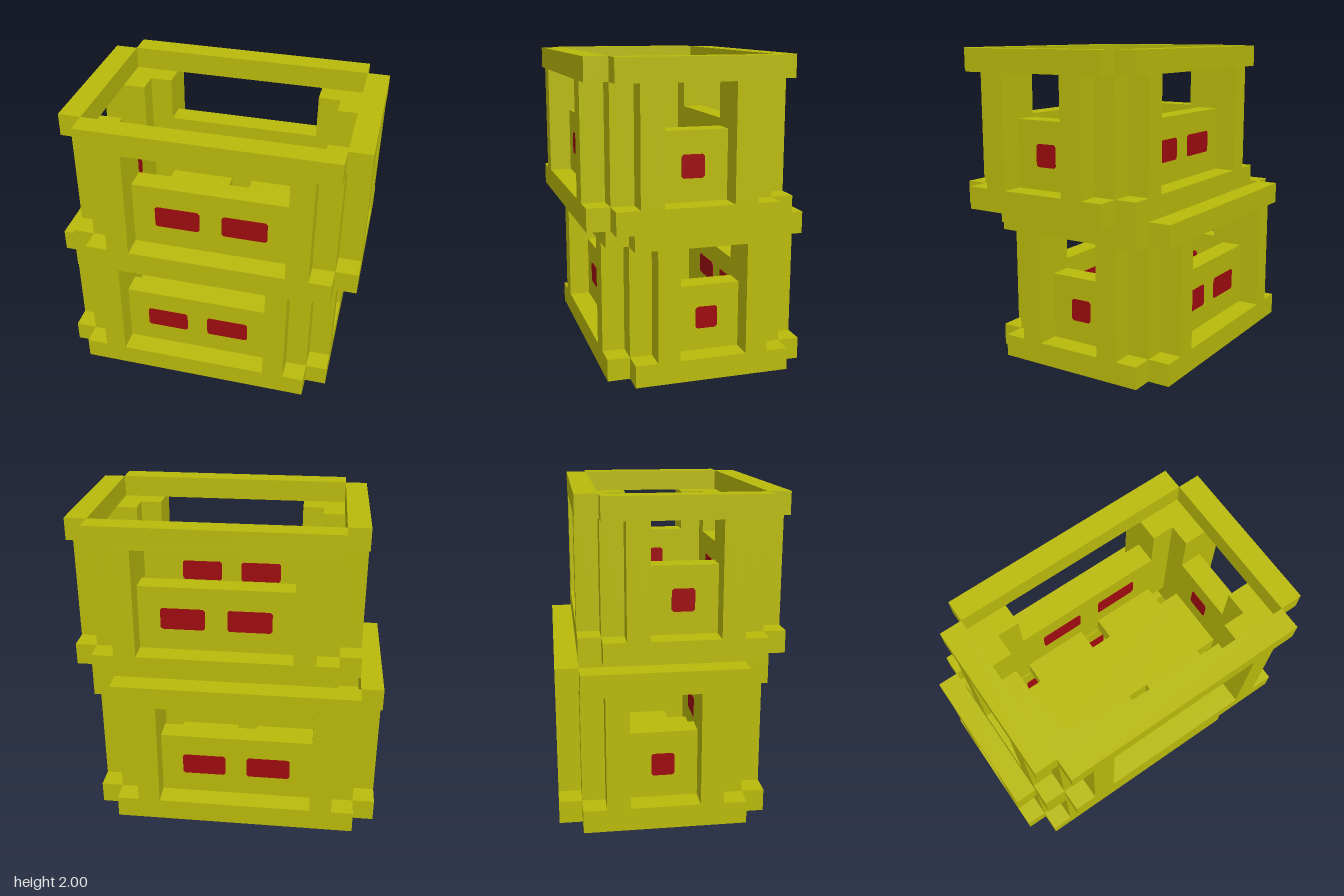
import * as THREE from 'three';

const U = 1 / 7; // modelling unit; each crate is 13 x 7 x 9 units

const yellow = new THREE.MeshStandardMaterial({ color: 0xbaba0c });
yellow.name = 'crateYellow';
const red = new THREE.MeshStandardMaterial({ color: 0x9e0b0f });
red.name = 'labelRed';

function add(parent, name, geometry, material = yellow) {
  const mesh = new THREE.Mesh(geometry, material);
  mesh.name = name;
  parent.add(mesh);
  return mesh;
}

// Box given by its centre and size in units
function box(parent, name, x, y, z, w, h, d) {
  const mesh = add(parent, name, new THREE.BoxGeometry(w * U, h * U, d * U));
  mesh.position.set(x * U, y * U, z * U);
  return mesh;
}

const toPoints = (list) => list.map(([x, y]) => new THREE.Vector2(x * U, y * U));

// Extrudes a plan outline (x, z) upward from y0 by h
function prism(outline, holes, y0, h) {
  const flip = (list) => toPoints(list.map(([x, z]) => [x, -z]));
  const shape = new THREE.Shape(flip(outline));
  shape.holes = holes.map((hole) => new THREE.Path(flip(hole)));
  const g = new THREE.ExtrudeGeometry(shape, { depth: h * U, bevelEnabled: false });
  return g.rotateX(-Math.PI / 2).translate(0, y0 * U, 0);
}

// Label inlay with clipped corners, running through its panel
function labelGeometry(w, h) {
  const a = w / 2, b = h / 2, c = 0.09;
  const shape = new THREE.Shape(toPoints([
    [a - c, -b], [a, -b + c], [a, b - c], [a - c, b],
    [-a + c, b], [-a, b - c], [-a, -b + c], [-a + c, -b],
  ]));
  const depth = U + 0.008;
  return new THREE.ExtrudeGeometry(shape, { depth, bevelEnabled: false }).translate(0, 0, -depth / 2);
}

function createCrate(name) {
  const crate = new THREE.Group();
  crate.name = name;

  // Floor with notched corners and six drain holes
  const outline = [
    [-5.5, -4.5], [5.5, -4.5], [5.5, -3.5], [6.5, -3.5], [6.5, 3.5], [5.5, 3.5],
    [5.5, 4.5], [-5.5, 4.5], [-5.5, 3.5], [-6.5, 3.5], [-6.5, -3.5], [-5.5, -3.5],
  ];
  const holes = [];
  for (const x of [-4, 0, 4]) {
    for (const z of [-2, 2]) {
      holes.push([[x - 0.5, z - 0.5], [x - 0.5, z + 0.5], [x + 0.5, z + 0.5], [x + 0.5, z - 0.5]]);
    }
  }
  add(crate, 'floor', prism(outline, holes, 0, 1));

  // Stepped corner posts
  const post = [[2, 0], [3, 0], [3, 2], [2, 2], [2, 3], [0, 3], [0, 2], [1, 2], [1, 1], [2, 1]];
  for (const sx of [-1, 1]) {
    for (const sz of [-1, 1]) {
      const plan = post.map(([x, z]) => [sx * (6.5 - x), sz * (4.5 - z)]);
      add(crate, 'cornerPost', prism(plan, [], 1, 5));
    }
  }

  for (const s of [-1, 1]) {
    // Top rim rails
    box(crate, 'longRail', 0, 6.5, s * 4, 11, 1, 1);
    box(crate, 'shortRail', s * 6, 6.5, 0, 1, 1, 7);

    // Recessed low wall panels
    box(crate, 'longPanel', 0, 2.5, s * 3, 7, 3, 1);
    box(crate, 'shortPanel', s * 5, 2.5, 0, 1, 3, 3);

    // Red labels: two on each long panel, one on each short panel
    for (const x of [-1.5, 1.5]) {
      add(crate, 'longLabel', labelGeometry(2, 1), red).position.set(x * U, 2.5 * U, s * 3 * U);
    }
    const label = add(crate, 'shortLabel', labelGeometry(1, 1), red);
    label.rotation.y = Math.PI / 2;
    label.position.set(s * 5 * U, 2.5 * U, 0);
  }
  return crate;
}

export function createModel() {
  const model = new THREE.Group();
  model.name = 'stackedCrates';

  // Two crates stacked with a diagonal offset
  const lower = createCrate('lowerCrate');
  lower.position.set(-0.5 * U, 0, -0.5 * U);
  const upper = createCrate('upperCrate');
  upper.position.set(0.5 * U, 1, 0.5 * U);
  model.add(lower, upper);
  return model;
}
